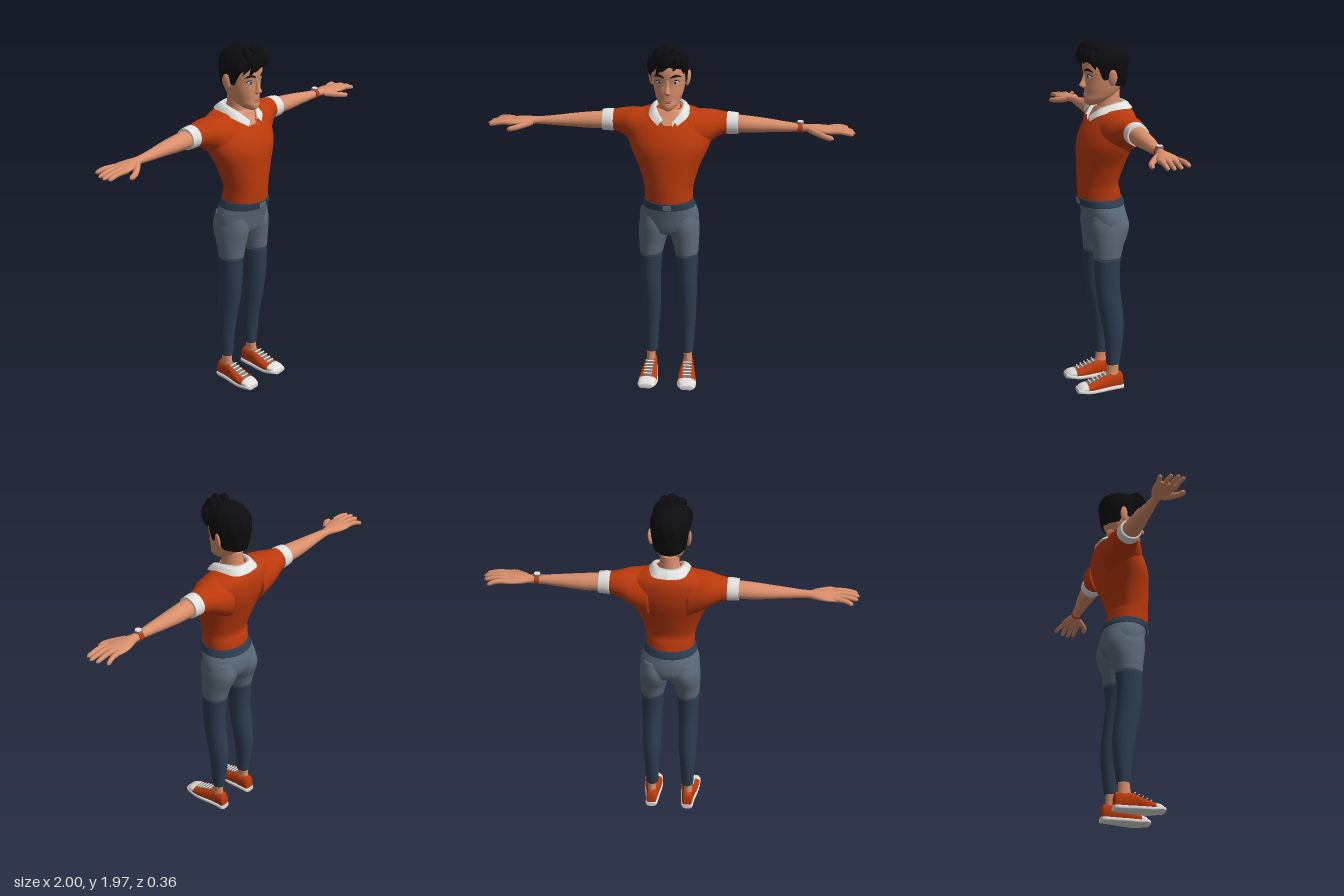
import * as THREE from 'three';

const mat = (name, color, side = THREE.FrontSide) => {
  const m = new THREE.MeshStandardMaterial({ color, side });
  m.name = name;
  return m;
};

// Closed-ring grid surface; fn(angle, s) gives a point, pick(point) gives a material slot
function ringSurface(fn, n, rows, pick = () => 0) {
  const pos = [], buckets = [[], [], [], []];
  for (let j = 0; j <= rows; j++)
    for (let i = 0; i < n; i++) pos.push(...fn((i / n) * Math.PI * 2, j / rows));
  const mid = (a, b, c) => [0, 1, 2].map(k => (pos[a * 3 + k] + pos[b * 3 + k] + pos[c * 3 + k]) / 3);
  for (let j = 0; j < rows; j++)
    for (let i = 0; i < n; i++) {
      const a = j * n + i, b = j * n + (i + 1) % n, c = a + n, d = b + n;
      buckets[pick(mid(a, b, c))].push(a, b, c);
      buckets[pick(mid(b, d, c))].push(b, d, c);
    }
  const g = new THREE.BufferGeometry();
  g.setAttribute('position', new THREE.Float32BufferAttribute(pos, 3));
  g.setIndex(buckets.flat());
  let start = 0;
  buckets.forEach((k, i) => { if (k.length) g.addGroup(start, k.length, i); start += k.length; });
  g.computeVertexNormals();
  return g;
}

// Loft along an axis; each row is [t, uMin, uMax, vMin, vMax, vOfWidest]
function loft(axis, rows, { p = 1, n = 32, sub = 5, pick } = {}) {
  const r = rows.map(q => (q.length > 5 ? q : [...q, (q[3] + q[4]) / 2]));
  const last = r.length - 1, total = last * sub;
  const at = f => {
    const i = Math.min(Math.floor(f), last - 1), x = f - i;
    const [a, b, c, d] = [r[Math.max(i - 1, 0)], r[i], r[i + 1], r[Math.min(i + 2, last)]];
    return b.map((_, k) => b[k] + 0.5 * x * (c[k] - a[k] + x * (2 * a[k] - 5 * b[k] + 4 * c[k] - d[k] + x * (3 * (b[k] - c[k]) + d[k] - a[k]))));
  };
  const pw = v => Math.sign(v) * Math.abs(v) ** p;
  const fn = (ang, s) => {
    const j = Math.round(s * (total + 2)) - 1;
    const open = j < 0 || j > total ? 0 : 1;
    const [t, u0, u1, v0, v1, vc] = at(Math.min(Math.max(j, 0), total) / sub);
    const w = -pw(Math.sin(ang));
    const u = (u0 + u1) / 2 + open * (u1 - u0) / 2 * pw(Math.cos(ang));
    const v = vc + open * w * (w > 0 ? v1 - vc : vc - v0);
    return axis === 'y' ? [u, t, v] : axis === 'x' ? [t, v, u] : [v, u, t];
  };
  return ringSurface(fn, n, total + 2, pick);
}
const sym = rows => rows.map(([y, h, ...rest]) => [y, -h, h, ...rest]);

// Round limb along a curve with tapering radius
function taper(points, radius, rows = 12, n = 10) {
  const curve = new THREE.CatmullRomCurve3(points.map(q => new THREE.Vector3(...q)));
  const fr = curve.computeFrenetFrames(rows);
  return ringSurface((a, s) => {
    const r = radius(s), k = Math.round(s * rows);
    return curve.getPointAt(s).addScaledVector(fr.normals[k], r * Math.cos(a))
      .addScaledVector(fr.binormals[k], r * Math.sin(a)).toArray();
  }, n, rows);
}

function mirrorX(g) {
  const m = g.clone().scale(-1, 1, 1), ix = m.index;
  if (ix) for (let i = 0; i < ix.count; i += 3) {
    const b = ix.getX(i + 1);
    ix.setX(i + 1, ix.getX(i + 2));
    ix.setX(i + 2, b);
  }
  m.computeVertexNormals();
  return m;
}
const ball = (x, y, z, a, b, c) => new THREE.SphereGeometry(1, 20, 14).scale(a, b, c).translate(x, y, z);

export function createModel() {
  const skin = mat('skin', 0xd98f6b), orange = mat('orange cloth', 0xbc3a0c), white = mat('white', 0xe2e0dd, THREE.DoubleSide);
  const grey = mat('trouser grey', 0x5c6a79), navy = mat('trouser navy', 0x2d3d50), black = mat('hair black', 0x0d0d0f, THREE.DoubleSide);
  const blue = mat('eye blue', 0x5f8fb8), lip = mat('lip', 0xb9694f), tongue = mat('shoe grey', 0x77706a);
  const model = new THREE.Group();
  const add = (name, geo, m) => {
    const mesh = new THREE.Mesh(geo, m);
    mesh.name = name;
    model.add(mesh);
  };
  const pair = (name, geo, m) => { add(name + 'Left', geo, m); add(name + 'Right', mirrorX(geo), m); };

  // Shirt, with the open neckline showing skin
  add('shirt', loft('y', sym([
    [1.095, .131, -.11, .129, 0], [1.15, .133, -.1, .131, 0], [1.2, .139, -.092, .132, 0], [1.3, .17, -.125, .132, -.01],
    [1.4, .215, -.16, .127, -.03], [1.47, .235, -.176, .105, -.06], [1.53, .23, -.18, .07, -.07],
    [1.57, .2, -.175, .042, -.08], [1.595, .14, -.163, .028, -.08], [1.61, .08, -.145, .02, -.08]]),
  { n: 96, sub: 8, pick: ([x, y, z]) => (z > -.02 && y > 1.535 && Math.abs(x) < .018 + (y - 1.535) * .8 ? 1 : 0) }), [orange, skin]);
  pair('sleeve', loft('x', [[.1, -.172, .07, 1.33, 1.598], [.2, -.176, .035, 1.4, 1.594], [.26, -.162, -.003, 1.442, 1.585], [.315, -.144, -.026, 1.463, 1.575]]), orange);
  pair('cuff', loft('x', [[.308, -.147, -.022, 1.458, 1.577], [.315, -.149, -.021, 1.456, 1.579], [.34, -.147, -.022, 1.457, 1.578], [.37, -.144, -.024, 1.459, 1.574]]), white);

  // Folded collar: inner wall, ridge and outer flap
  const curve = pts => new THREE.CatmullRomCurve3(pts.map(q => new THREE.Vector3(...q)));
  const ridge = curve([[0, 1.64, -.128], [.05, 1.64, -.11], [.077, 1.634, -.05], [.066, 1.61, .022], [.026, 1.565, .07]]);
  const hem = curve([[0, 1.602, -.172], [.075, 1.602, -.152], [.11, 1.6, -.06], [.1, 1.575, .04], [.052, 1.54, .08]]);
  const collar = new THREE.PlaneGeometry(1, 1, 20, 6), cp = collar.attributes.position;
  for (let i = 0; i < cp.count; i++) {
    const s = cp.getX(i) + .5, k = cp.getY(i) + .5, top = ridge.getPoint(s);
    if (k < .34) top.add(new THREE.Vector3(top.x * -.08, (k - .334) * .1, 0));
    else {
      const f = (k - .333) / .667;
      top.lerp(hem.getPoint(s), f).y += Math.sin(f * Math.PI) * .006;
    }
    cp.setXYZ(i, top.x, top.y, top.z);
  }
  collar.computeVertexNormals();
  pair('collar', collar, white);

  // Arms and hands
  pair('arm', loft('x', [
    [.33, -.137, -.03, 1.468, 1.566], [.45, -.13, -.034, 1.468, 1.556], [.54, -.12, -.04, 1.474, 1.546], [.62, -.107, -.044, 1.478, 1.536],
    [.7, -.097, -.05, 1.483, 1.527], [.74, -.1, -.045, 1.484, 1.525], [.78, -.115, -.028, 1.482, 1.524],
    [.83, -.127, -.01, 1.483, 1.52], [.88, -.124, -.004, 1.487, 1.514], [.897, -.11, -.015, 1.493, 1.51]]), skin);
  const finger = r => s => r * (1 - .25 * s) * Math.sqrt(Math.max(0, 1 - Math.max(0, (s - .85) / .15) ** 2));
  [['index', -.017, -.012, .99], ['middle', -.047, -.043, 1], ['ring', -.078, -.081, .992], ['little', -.107, -.134, .965]].forEach(([name, z0, z1, tip]) =>
    pair(name + 'Finger', taper([[.86, 1.502, z0], [.92, 1.503, (z0 + z1) / 2], [tip, 1.489, z1]], finger(.0145)), skin));
  pair('thumb', taper([[.76, 1.5, -.045], [.81, 1.49, -.002], [.845, 1.484, .021], [.885, 1.476, .028]], finger(.018)), skin);

  // Wristwatch on the left wrist
  add('watchStrap', loft('x', [[.69, -.102, -.046, 1.478, 1.532], [.7, -.102, -.046, 1.478, 1.532], [.715, -.102, -.045, 1.479, 1.531]], { n: 24 }), orange);
  add('watchCase', new THREE.CylinderGeometry(.019, .021, .01, 20).translate(.703, 1.533, -.073), tongue);
  add('watchDial', new THREE.CylinderGeometry(.017, .017, .004, 20).translate(.703, 1.54, -.073), white);

  // Trousers: hips, grey thighs, navy lower legs, waistband
  add('hips', loft('y', sym([[.9, .06, -.07, .05], [.925, .13, -.115, .08], [.97, .162, -.135, .095], [1.03, .16, -.133, .108], [1.085, .14, -.118, .122]])), grey);
  pair('thigh', loft('y', [[.78, .035, .163, -.083, .068], [.85, .018, .167, -.1, .075], [.9, .003, .168, -.122, .083], [.96, -.005, .166, -.135, .09], [1.03, .02, .15, -.115, .08]]), grey);
  pair('lowerLeg', loft('y', [
    [.155, .069, .136, -.076, -.002], [.165, .068, .137, -.078, 0], [.3, .06, .147, -.096, .01], [.4, .052, .153, -.1, .026],
    [.5, .048, .156, -.09, .046], [.6, .047, .158, -.077, .06], [.7, .042, .161, -.076, .065], [.78, .035, .163, -.083, .068]]), navy);
  add('waistband', loft('y', sym([[1.07, .146, -.127, .126], [1.076, .147, -.128, .128], [1.105, .137, -.118, .133], [1.111, .134, -.115, .131]])), navy);
  add('buckle', new THREE.BoxGeometry(.045, .026, .008).translate(0, 1.091, .132), grey);

  // Ankles and shoes
  pair('ankle', loft('y', [[.06, .078, .134, -.075, .01], [.11, .083, .13, -.07, -.002], [.17, .08, .13, -.07, -.008]]), skin);
  const shoe = [
    [-.094, .02, .06, .09, .124], [-.085, .006, .097, .077, .134], [-.04, .005, .102, .071, .139], [0, .005, .1, .067, .146],
    [.05, .005, .08, .061, .156], [.1, .006, .061, .06, .161], [.15, .009, .05, .068, .161], [.172, .014, .036, .085, .15]];
  pair('shoe', loft('z', shoe, { p: .8, n: 48, sub: 8, pick: ([x, y, z]) => {
    if (z > .122) return 1;
    return z > -.005 && y > .05 && Math.abs(x - .107 - z * .04) < .021 ? 2 : 0;
  } }), [orange, white, tongue]);
  pair('sole', loft('z', shoe.map(([z, , , a, b]) => [z * 1.03, z > .14 ? .008 : 0, z > .14 ? .034 : .028, a - .004, b + .004]), { p: .6, n: 40 }), white);
  for (let i = 0; i < 5; i++) {
    const z = .015 + i * .022;
    pair('lace' + i, new THREE.BoxGeometry(.05, .005, .007).rotateX(.45).translate(.108 + z * .04, .1 - i * .0085, z), white);
  }

  // Neck, head and ears
  add('neck', loft('y', sym([[1.56, .07, -.13, .03], [1.62, .054, -.11, .018], [1.7, .05, -.105, .02]])), skin);
  add('head', loft('y', sym([
    [1.62, .015, .035, .075], [1.632, .036, .0, .09, .03], [1.655, .056, -.04, .094, .01], [1.68, .068, -.08, .09, -.01],
    [1.72, .08, -.11, .092, -.02], [1.77, .089, -.13, .091, -.02], [1.82, .093, -.14, .1, -.02], [1.87, .088, -.135, .095, -.02],
    [1.91, .07, -.11, .07, -.02], [1.93, .03, -.05, .02, -.02]]), { p: .92, n: 40 }), skin);
  pair('ear', ball(0, 0, 0, .011, .044, .024).rotateY(-.35).rotateZ(-.12).translate(.1, 1.777, -.035), skin);

  // Facial features
  add('nose', loft('y', sym([[1.712, .01, .075, .1], [1.722, .018, .075, .116], [1.732, .015, .075, .121], [1.76, .009, .075, .106], [1.795, .009, .075, .096]])), skin);
  add('upperLip', ball(0, 1.679, .088, .025, .005, .008), lip);
  add('lowerLip', ball(0, 1.67, .087, .021, .006, .009), lip);
  pair('eyeWhite', ball(0, 0, 0, .019, .01, .007).rotateY(.4).translate(.042, 1.781, .077), white);
  pair('iris', ball(0, 0, 0, .009, .0095, .004).rotateY(.3).translate(.041, 1.781, .0825), blue);
  pair('pupil', ball(0, 0, 0, .0045, .0048, .002).rotateY(.3).translate(.0415, 1.781, .0858), black);
  pair('upperLid', taper([[.021, 1.784, .087], [.04, 1.793, .084], [.063, 1.784, .069]], () => .0022), black);
  pair('eyebrow', taper([[.016, 1.808, .096], [.045, 1.818, .088], [.074, 1.808, .067]], s => .0065 * Math.sin(Math.PI * (.15 + .8 * s))), black);

  // Hair cap whose lower edge follows the hairline from nape (-1) to forehead (1)
  const line = [[-1, 1.72], [-.3, 1.73], [-.08, 1.8], [.1, 1.765], [.3, 1.762], [.5, 1.83], [.75, 1.85], [1.01, 1.865]];
  const low = f => {
    const i = Math.max(1, line.findIndex(q => f <= q[0])), [a, b] = [line[i - 1], line[i]];
    return a[1] + (b[1] - a[1]) * (f - a[0]) / (b[0] - a[0]);
  };
  add('hair', ringSurface((a, s) => {
    const f = -Math.sin(a), y0 = low(f), y = y0 + (1.957 - y0) * Math.sin(s * Math.PI / 2);
    const k = y > 1.86 ? Math.max(0, 1 - ((y - 1.86) / .097) ** 2) ** .5 : 1 - .15 * ((1.86 - y) / .14) ** 2;
    const w = k * (1 + .012 * Math.sin(11 * a + y * 30));
    return [Math.cos(a) * .102 * w, y, -.02 + f * w * (f > 0 ? .126 : .132)];
  }, 72, 24), black);

  // Swept fringe locks: root, middle, tip
  [
    [[.05, 1.925, .06], [-.03, 1.915, .1], [-.088, 1.825, .066]],
    [[.05, 1.925, .07], [-.01, 1.905, .11], [-.062, 1.818, .09]],
    [[.05, 1.925, .07], [.01, 1.9, .112], [-.035, 1.838, .106]],
    [[.03, 1.93, .06], [.05, 1.895, .1], [.03, 1.847, .106]],
    [[.03, 1.93, .05], [.075, 1.89, .075], [.085, 1.82, .055]],
    [[-.04, 1.92, .04], [-.085, 1.885, .05], [-.097, 1.8, .03]],
    [[.02, 1.93, .03], [0, 1.95, .075], [-.03, 1.928, .118]],
    [[-.03, 1.93, .02], [-.045, 1.94, .06], [-.075, 1.9, .1]],
    [[.05, 1.925, .03], [.04, 1.94, .07], [.02, 1.915, .118]],
  ].forEach((q, i) => add('hairLock' + i, taper(q, s => .022 * Math.sin(Math.PI * (.2 + .8 * s)) ** .8), black));
  return model;
}
